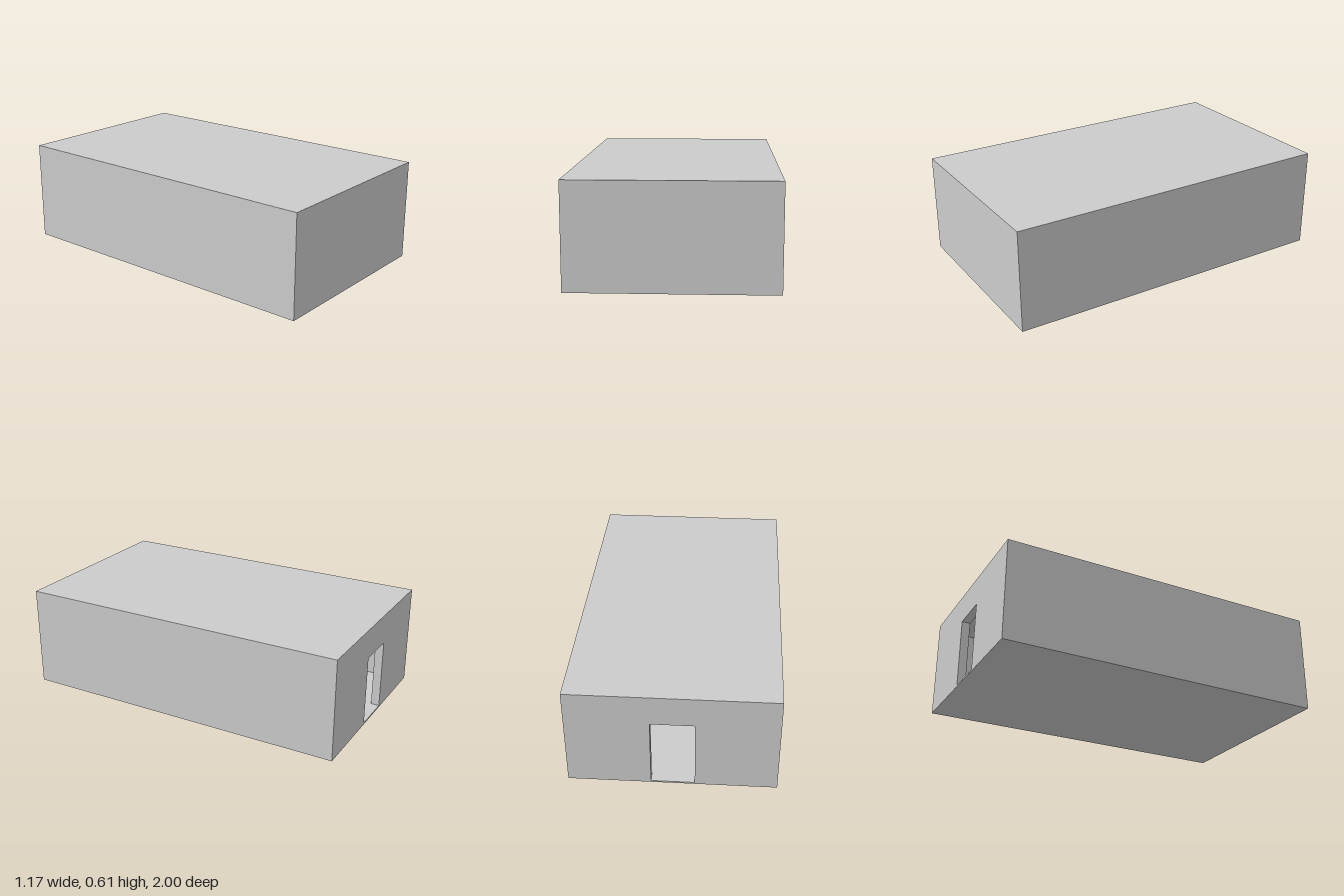
import * as THREE from 'three';

// Overall size, wall thickness and levels
const HX = 0.584, HZ = 1, T = 0.05;
const FLOOR = 0.01, CEILING = 0.551, RECESS = 0.561, TOP = 0.605;
const DOOR_LEFT = 0.118, DOOR_RIGHT = -0.126, DOOR_TOP = 0.424;

const material = new THREE.MeshStandardMaterial({ color: 0xcccccc, flatShading: true });

function rectangle(PathType, x0, y0, x1, y1) {
  return new PathType([[x0, y0], [x1, y0], [x1, y1], [x0, y1]].map(p => new THREE.Vector2(...p)));
}

export function createModel() {
  const model = new THREE.Group();
  model.name = 'building';

  const add = (name, geometry) => {
    const mesh = new THREE.Mesh(geometry, material);
    mesh.name = name;
    model.add(mesh);
    return mesh;
  };
  const addBox = (name, x0, x1, y0, y1, z0, z1) =>
    add(name, new THREE.BoxGeometry(x1 - x0, y1 - y0, z1 - z0))
      .position.set((x0 + x1) / 2, (y0 + y1) / 2, (z0 + z1) / 2);

  // Floor, flat roof and closed walls
  addBox('floor', -HX, HX, 0, FLOOR, -HZ, HZ);
  addBox('roof', -HX, HX, RECESS, TOP, -HZ, HZ);
  addBox('frontWall', -HX, HX, FLOOR, CEILING, HZ - T, HZ);
  addBox('leftWall', HX - T, HX, FLOOR, CEILING, -HZ + T, HZ - T);
  addBox('rightWall', -HX, -HX + T, FLOOR, CEILING, -HZ + T, HZ - T);

  // Back wall, notched for the doorway
  const outline = [
    [-HX, FLOOR], [DOOR_RIGHT, FLOOR], [DOOR_RIGHT, DOOR_TOP], [DOOR_LEFT, DOOR_TOP],
    [DOOR_LEFT, FLOOR], [HX, FLOOR], [HX, CEILING], [-HX, CEILING],
  ].map(p => new THREE.Vector2(...p));
  add('backWall', new THREE.ExtrudeGeometry(new THREE.Shape(outline), { depth: T, bevelEnabled: false }))
    .position.z = -HZ;

  // Ceiling layer with a row of shallow recessed panels
  const ceiling = rectangle(THREE.Shape, -HX, -HZ, HX, HZ);
  for (let i = 0; i < 4; i++) {
    const z = -0.8 + i * 0.437;
    ceiling.holes.push(rectangle(THREE.Path, -0.383, z, 0.383, z + 0.29));
  }
  const slab = new THREE.ExtrudeGeometry(ceiling, { depth: RECESS - CEILING, bevelEnabled: false });
  add('ceiling', slab.rotateX(-Math.PI / 2)).position.y = CEILING;

  return model;
}
